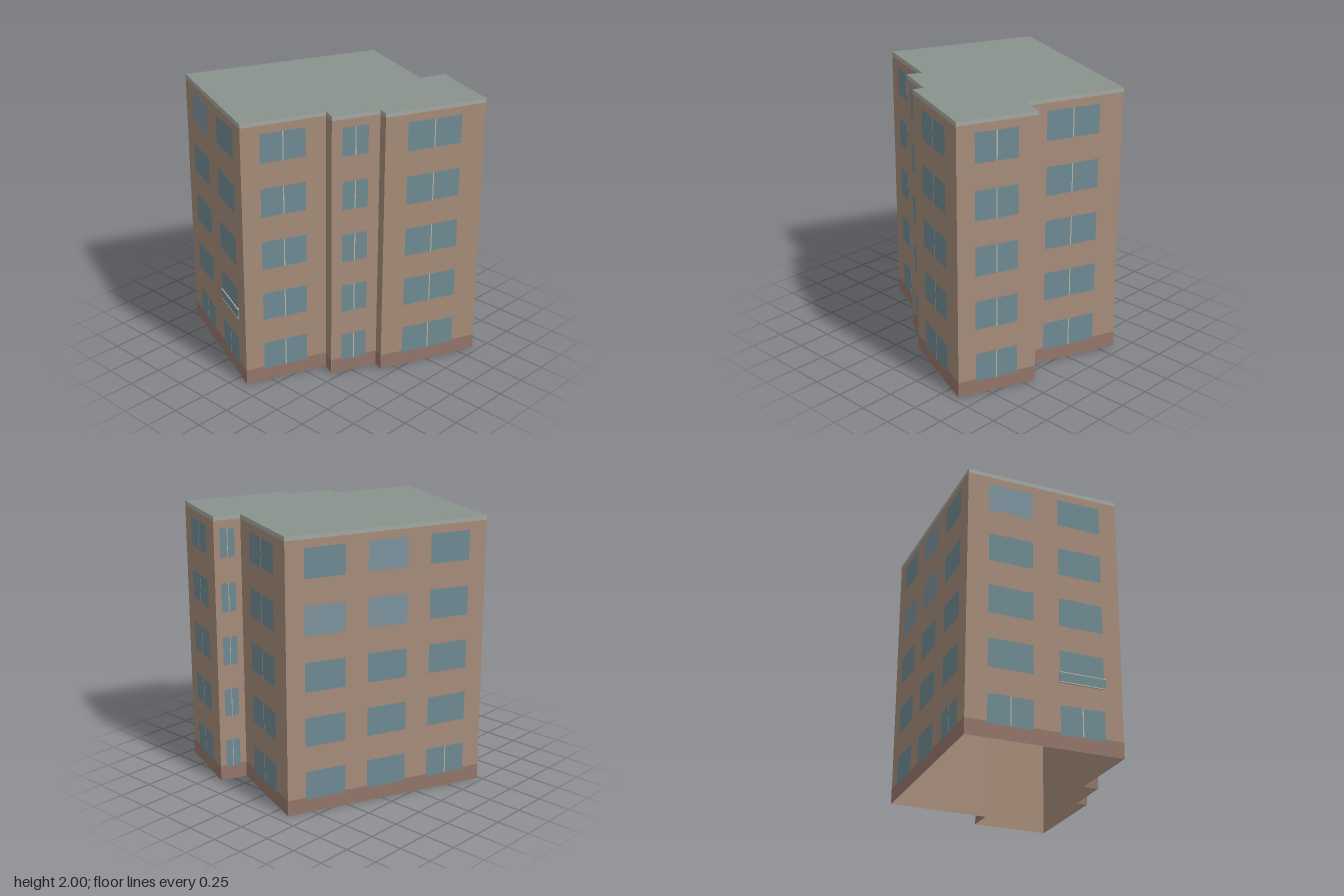
import * as THREE from 'three';

const mat = (color, side = THREE.FrontSide) => new THREE.MeshStandardMaterial({ color, side, roughness: 0.9 });

const FLOORS = 5, STOREY = 0.4, SILL = 0.1, WINDOW_H = 0.212;
const HEIGHT = 2, PLINTH_H = 0.115, TRIM_H = 0.03;

// Footprint corners [x, z], running along the front from left to right and round the back
const FOOTPRINT = [
  [-0.92, 0.107], [-0.342, 0.34], [-0.392, 0.442], [-0.064, 0.585], [-0.093, 0.66],
  [0.624, 0.955], [0.838, 0.411], [0.65, 0.337], [0.92, -0.37], [-0.484, -0.957],
];

// Window columns per wall, as fractions of the wall's length
const ONE = [[0.22, 0.757]];
const COLUMNS = [
  ONE, [], ONE, [], ONE, ONE, ONE, ONE,
  [[0.09, 0.288], [0.4, 0.597], [0.714, 0.912]],
  [[0.136, 0.424], [0.592, 0.88]],
];

const BACK = 8, SIDE = 9;

// Divided panes: all of the front and bay walls, and a few ground-floor windows behind
function isDivided(wall, column, floor) {
  if (wall < BACK) return true;
  return floor === 0 && (wall === SIDE || column === 2);
}

// Windows with paler glass: wall, column, floor
const PALE = ['8,1,4', '8,1,3', '8,0,3', '9,0,4'];

export function createModel() {
  const building = new THREE.Group();
  building.name = 'apartmentBlock';

  const wallMat = mat(0xa58c7a, THREE.DoubleSide);
  const plinthMat = mat(0x94766a);
  const trimMat = mat(0xa3a9a3);
  const roofMat = mat(0x8a928e, THREE.DoubleSide);
  const glassMat = mat(0x6f8a93);
  const paleGlassMat = mat(0x7d939f);
  const barMat = mat(0xb8b6a6);

  // Upright panel in a wall's own frame: x along the wall, z outwards
  function panel(parent, name, material, x0, x1, y0, y1, z) {
    const mesh = new THREE.Mesh(new THREE.PlaneGeometry(x1 - x0, y1 - y0), material);
    mesh.position.set((x0 + x1) / 2, (y0 + y1) / 2, z);
    mesh.name = name;
    parent.add(mesh);
  }

  FOOTPRINT.forEach(([x, z], w) => {
    const [nx, nz] = FOOTPRINT[(w + 1) % FOOTPRINT.length];
    const length = Math.hypot(nx - x, nz - z);
    const wall = new THREE.Group();
    wall.name = 'wall' + (w + 1);
    wall.position.set(x, 0, z);
    wall.rotation.y = Math.atan2(z - nz, nx - x);
    building.add(wall);

    panel(wall, 'wallFace', wallMat, 0, length, 0, HEIGHT, 0);
    panel(wall, 'plinth', plinthMat, 0, length, 0, PLINTH_H, 0.002);
    panel(wall, 'roofTrim', trimMat, 0, length, HEIGHT - TRIM_H, HEIGHT, 0.002);

    // Windows on every floor
    COLUMNS[w].forEach(([a, b], c) => {
      for (let f = 0; f < FLOORS; f++) {
        const y = SILL + f * STOREY;
        const glass = PALE.includes([w, c, f].join()) ? paleGlassMat : glassMat;
        panel(wall, 'window', glass, a * length, b * length, y, y + WINDOW_H, 0.004);
        if (isDivided(w, c, f)) {
          const mid = (a + b) / 2 * length;
          const half = Math.min(0.004, length * 0.012);
          panel(wall, 'windowBar', barMat, mid - half, mid + half, y, y + WINDOW_H, 0.006);
        }
      }
    });

    // Shallow railing across one first-floor window
    if (w === SIDE) {
      const box = (name, material, y, h, d) => {
        const mesh = new THREE.Mesh(new THREE.BoxGeometry(0.3 * length, h, d), material);
        mesh.position.set(0.74 * length, y, d / 2);
        mesh.name = name;
        wall.add(mesh);
      };
      box('railingPanel', glassMat, 0.515, 0.07, 0.009);
      box('railingTop', barMat, 0.552, 0.007, 0.011);
      box('railingBottom', barMat, 0.48, 0.007, 0.011);
    }
  });

  // Flat roof over the footprint
  const shape = new THREE.Shape(FOOTPRINT.map(([x, z]) => new THREE.Vector2(x, -z)));
  const roof = new THREE.Mesh(new THREE.ShapeGeometry(shape), roofMat);
  roof.rotation.x = -Math.PI / 2;
  roof.position.y = HEIGHT;
  roof.name = 'roof';
  building.add(roof);

  return building;
}
